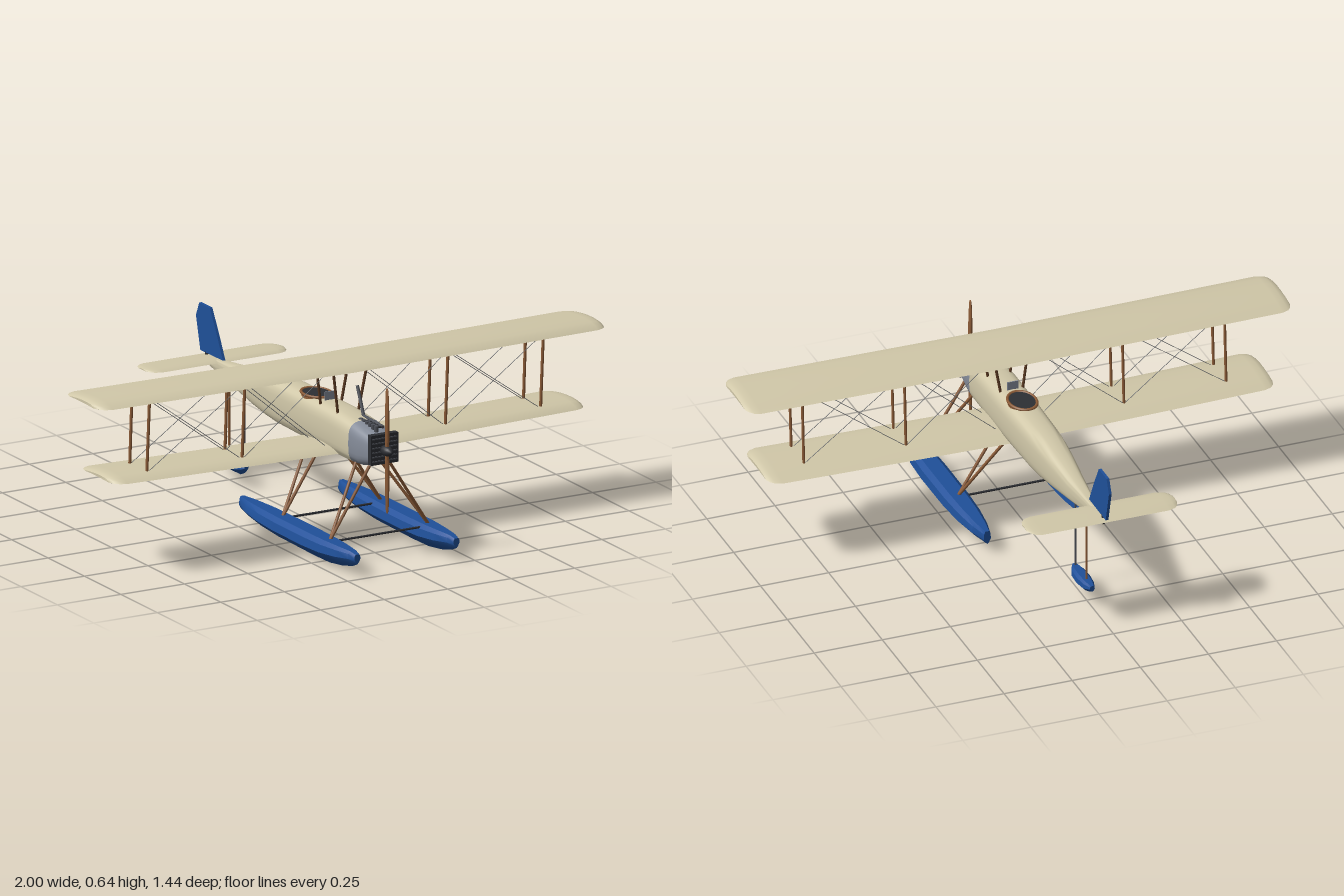
import * as THREE from 'three';
import { toCreasedNormals } from 'three/addons/utils/BufferGeometryUtils.js';

const mat = (name, color) => new THREE.MeshStandardMaterial({ name, color });

// Skin closed rings (counter-clockwise about the direction of travel) and cap both ends.
function loft(rings, crease = 0.7) {
  const n = rings[0].length, pos = rings.flat(2), idx = [];
  for (let i = 0; i < rings.length - 1; i++) for (let j = 0; j < n; j++) {
    const a = i * n + j, b = i * n + (j + 1) % n;
    idx.push(a, b, b + n, a, b + n, a + n);
  }
  [0, rings.length - 1].forEach((r, end) => {
    const mid = pos.length / 3;
    for (let k = 0; k < 3; k++) pos.push(rings[r].reduce((s, p) => s + p[k], 0) / n);
    for (let j = 0; j < n; j++) {
      const a = r * n + j, b = r * n + (j + 1) % n;
      idx.push(mid, end ? a : b, end ? b : a);
    }
  });
  const g = new THREE.BufferGeometry();
  g.setAttribute('position', new THREE.Float32BufferAttribute(pos, 3));
  g.setIndex(idx);
  return toCreasedNormals(g, crease);
}

export function createModel() {
  const model = new THREE.Group();
  model.name = 'floatBiplane';
  const cream = mat('cream fabric', 0xd0c7a8), blue = mat('blue paint', 0x1f5099);
  const wood = mat('wood', 0x8a5a36), darkWood = mat('dark wood', 0x5c3a22);
  const metal = mat('grey cowl metal', 0x858c99), black = mat('black metal', 0x2d2f34);
  const steel = mat('exhaust steel', 0x4d5058), wireGrey = mat('wire grey', 0x777a7e);

  const add = (name, geo, material, x = 0, y = 0, z = 0) => {
    const m = new THREE.Mesh(geo, material);
    m.name = name;
    m.position.set(x, y, z);
    model.add(m);
    return m;
  };
  // Round rod between two points; flat < 1 narrows it across x.
  const rod = (name, p, q, r, material, flat = 1, sides = 8) => {
    const a = new THREE.Vector3(...p), b = new THREE.Vector3(...q), d = b.clone().sub(a);
    const m = add(name, new THREE.CylinderGeometry(r, r, d.length(), sides), material);
    m.position.copy(a).add(b).multiplyScalar(0.5);
    m.quaternion.setFromUnitVectors(new THREE.Vector3(0, 1, 0), d.normalize());
    m.scale.x = flat;
    return m;
  };

  // Fuselage: rounded-box sections [z, bottom, top, half width]
  const hull = list => loft(list.map(([z, y0, y1, w]) => Array.from({ length: 32 }, (_, i) => {
    const t = i / 32 * Math.PI * 2, c = Math.cos(t), s = Math.sin(t);
    const f = v => Math.sign(v) * Math.abs(v) ** 0.6;
    return [w * f(c), (y0 + y1) / 2 + (y1 - y0) / 2 * f(s), z];
  })));
  add('fuselage', hull([
    [-0.655, 0.38, 0.402, 0.006], [-0.55, 0.364, 0.415, 0.015], [-0.4, 0.343, 0.431, 0.034],
    [-0.27, 0.325, 0.451, 0.048], [-0.18, 0.314, 0.463, 0.055], [-0.1, 0.308, 0.467, 0.059],
    [0.1, 0.306, 0.467, 0.064], [0.3, 0.306, 0.466, 0.066], [0.43, 0.307, 0.456, 0.065]]), cream);
  add('cowl', hull([[0.43, 0.307, 0.456, 0.065], [0.48, 0.311, 0.447, 0.062],
    [0.53, 0.323, 0.437, 0.056], [0.55, 0.33, 0.434, 0.052]]), metal);

  // Radiator with slats
  add('radiator', new THREE.BoxGeometry(0.108, 0.106, 0.022), black, 0, 0.388, 0.557);
  for (let i = 0; i < 6; i++)
    add('radiatorSlat', new THREE.BoxGeometry(0.096, 0.004, 0.004), steel, 0, 0.348 + i * 0.016, 0.569);

  // Cylinder heads and exhaust
  for (let i = 0; i < 6; i++) {
    const z = 0.415 + i * 0.021;
    add('cylinderHead', new THREE.CylinderGeometry(0.008, 0.008, 0.032, 12), steel, -0.006, 0.443, z);
    rod('exhaustStub', [-0.006, 0.453, z], [0.018, 0.453, z], 0.004, black);
  }
  rod('exhaustManifold', [0.018, 0.453, 0.525], [0.018, 0.458, 0.39], 0.006, steel);
  rod('exhaustStack', [0.018, 0.457, 0.392], [0.018, 0.555, 0.348], 0.006, steel);

  // Propeller and spinner
  const blade = [[-0.222, 0.004, 0.002], [-0.21, 0.008, 0.004], [-0.12, 0.011, 0.007], [-0.03, 0.008, 0.007],
    [0.03, 0.008, 0.007], [0.12, 0.011, 0.007], [0.21, 0.008, 0.004], [0.222, 0.004, 0.002]];
  add('propeller', loft(blade.map(([y, a, b]) => Array.from({ length: 12 }, (_, i) => {
    const t = i / 6 * Math.PI;
    return [b * Math.sin(t), y, a * Math.cos(t)];
  })), 1.2), wood, 0, 0.385, 0.584);
  const spinner = [[0, 0.034], [0.007, 0.031], [0.014, 0.02], [0.018, 0.006], [0.018, -0.014], [0, -0.014]];
  add('spinner', new THREE.LatheGeometry(spinner.reverse().map(p => new THREE.Vector2(...p)), 20),
    black, 0, 0.385, 0.582).rotation.x = Math.PI / 2;

  // Cockpit: coaming ring, dark opening, small windscreen
  const coaming = add('cockpitCoaming', new THREE.TorusGeometry(0.048, 0.005, 8, 36), wood, 0, 0.468, 0.1);
  coaming.rotation.x = Math.PI / 2;
  coaming.scale.y = 1.38;
  add('cockpitWall', new THREE.CylinderGeometry(0.048, 0.05, 0.022, 32), wood, 0, 0.457, 0.1).scale.z = 1.38;
  add('cockpitOpening', new THREE.CylinderGeometry(0.045, 0.045, 0.003, 32), black, 0, 0.468, 0.1).scale.z = 1.38;
  add('windscreen', new THREE.BoxGeometry(0.04, 0.034, 0.004), metal, 0, 0.479, 0.19);

  // Wings: cambered section swept along the span; tips rounded in plan
  const foil = [[0, 0], [0.1, 0.36], [0.25, 0.66], [0.45, 0.92], [0.65, 1], [0.82, 0.86], [0.94, 0.54],
    [1, 0.1], [0.96, 0], [0.75, 0.12], [0.45, 0.2], [0.2, 0.12]];
  const wing = (name, half, z0, z1, y, rise, h, material = cream, round = 0.045) => {
    const tip = [[0, 1], [0.15, 0.55], [0.45, 0.2], [1, 0]];
    const right = tip.map(([s, inset]) => [half - s * round, inset * round]);
    const stations = [...right.map(([x, i]) => [-x, i]), [0, 0], ...right.reverse()];
    add(name, loft(stations.map(([x, inset]) => foil.map(([t, v]) => [
      x, y + rise * Math.abs(x) + h * v * (1 - inset / round * 0.5), z0 + inset + t * (z1 - z0 - 2 * inset)]))), material);
  };
  wing('upperWing', 1, 0.1, 0.366, 0.606, 0.009, 0.022);
  wing('lowerWing', 0.93, 0.083, 0.345, 0.318, 0.019, 0.022);
  wing('tailplane', 0.276, -0.685, -0.553, 0.403, 0, 0.009);

  // Fin and rudder, drawn in side profile and extruded across x
  const finShape = new THREE.Shape([[-0.535, 0.417], [-0.578, 0.5], [-0.625, 0.582], [-0.698, 0.582],
    [-0.72, 0.532], [-0.69, 0.415]].map(([z, y]) => new THREE.Vector2(-z, y)));
  add('fin', new THREE.ExtrudeGeometry(finShape, { depth: 0.01, bevelEnabled: false }), blue, -0.005)
    .rotation.y = Math.PI / 2;
  rod('rudderPost', [0, 0.385, -0.655], [0, 0.42, -0.655], 0.006, black);

  // Floats: sections [z, keel, chine, deck, half width]
  const float = (name, x, list) => add(name, loft(list.map(([z, k, c, d, w]) => [
    [w, c], [w * 0.9, (c + 2 * d) / 3], [w * 0.55, d], [-w * 0.55, d], [-w * 0.9, (c + 2 * d) / 3], [-w, c],
    [-w * 0.55, k + (c - k) * 0.4], [0, k], [w * 0.55, k + (c - k) * 0.4]].map(([px, py]) => [px, py, z])), 0.6), blue, x);
  for (const s of [-1, 1]) {
    float('mainFloat', s * 0.195, [
      [-0.07, 0.036, 0.055, 0.085, 0.013], [0, 0.024, 0.05, 0.086, 0.03], [0.1, 0.013, 0.046, 0.087, 0.043],
      [0.22, 0.005, 0.044, 0.087, 0.049], [0.42, 0.001, 0.044, 0.087, 0.05], [0.53, 0.003, 0.046, 0.087, 0.046],
      [0.62, 0.015, 0.052, 0.087, 0.035], [0.69, 0.032, 0.06, 0.086, 0.021], [0.72, 0.045, 0.064, 0.08, 0.012]]);
    // Float legs: a vertical and a raked strut at each attachment
    for (const [z, raked] of [[0.53, 0.445], [0.205, 0.12]])
      for (const zt of [z + 0.003, raked])
        rod('floatStrut', [s * 0.195, 0.08, z], [s * 0.04, 0.325, zt], 0.0055, wood);
  }
  for (const z of [0.53, 0.205]) rod('floatSpreader', [-0.195, 0.076, z], [0.195, 0.076, z], 0.004, black);
  float('tailFloat', 0, [
    [-0.553, 0.062, 0.072, 0.084, 0.009], [-0.52, 0.046, 0.062, 0.086, 0.021], [-0.47, 0.04, 0.06, 0.086, 0.027],
    [-0.42, 0.041, 0.061, 0.086, 0.024], [-0.395, 0.052, 0.066, 0.086, 0.015], [-0.382, 0.064, 0.072, 0.084, 0.008]]);
  rod('tailFloatStrut', [0, 0.08, -0.397], [0, 0.36, -0.397], 0.004, steel);
  rod('tailFloatStrut', [0, 0.08, -0.5], [0, 0.375, -0.5], 0.004, wood);

  // Wing struts and crossed bracing wires, mirrored left and right
  const upY = x => 0.61 + 0.009 * x, lowY = x => 0.33 + 0.019 * x;
  for (const s of [-1, 1]) for (const [zt, zb] of [[0.305, 0.285], [0.185, 0.168]]) {
    for (const x of [0.4, 0.775])
      rod('interplaneStrut', [s * x, lowY(x) - 0.008, zb], [s * x, upY(x) + 0.003, zt], 0.0065, wood, 0.75);
    rod('cabaneStrut', [s * 0.038, 0.44, zb + 0.03], [s * 0.066, 0.613, zt + 0.024], 0.005, darkWood);
    for (const [a, b] of [[0.066, 0.4], [0.4, 0.775]]) {
      rod('bracingWire', [s * a, lowY(a), zb], [s * b, upY(b), zt], 0.0012, wireGrey, 1, 5);
      rod('bracingWire', [s * a, upY(a), zt], [s * b, lowY(b), zb], 0.0012, wireGrey, 1, 5);
    }
  }
  return model;
}
